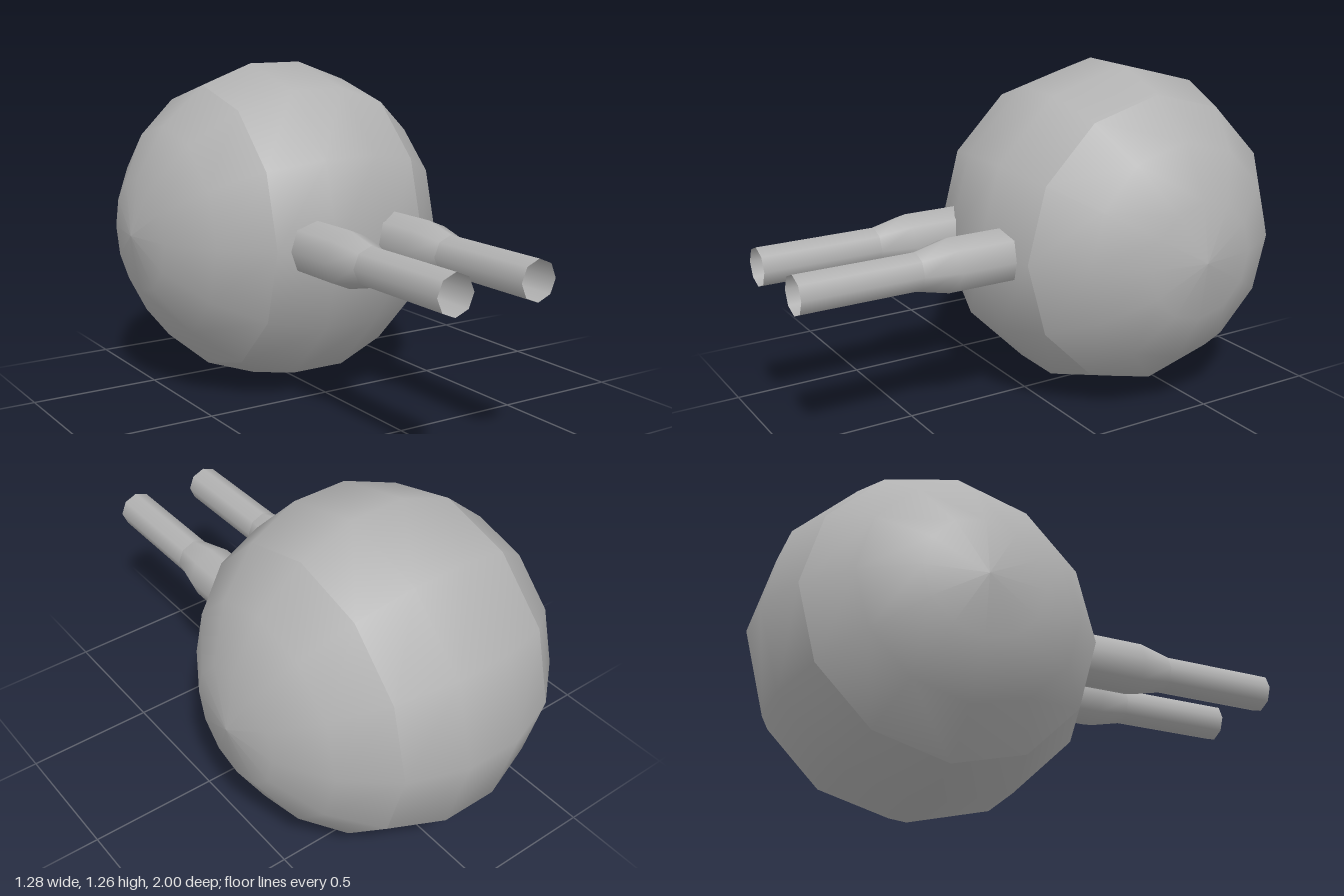
import * as THREE from 'three';

export function createModel() {
  const group = new THREE.Group();
  const metal = new THREE.MeshStandardMaterial({ color: 0xb2b2b2, side: THREE.DoubleSide });
  metal.name = 'grey metal';

  const lathe = (profile, sides) =>
    new THREE.LatheGeometry(profile.map(([r, h]) => new THREE.Vector2(r, h)), sides);
  const add = (name, geometry, x, y, z) => {
    const mesh = new THREE.Mesh(geometry, metal);
    mesh.name = name;
    mesh.position.set(x, y, z);
    group.add(mesh);
  };

  const centreY = 0.632;

  // Faceted ball turned about the x axis: a middle band and two side caps, creased between
  const band = [[0.555, -0.32], [0.632, -0.11], [0.632, 0.11], [0.555, 0.32]];
  const cap = [[0.555, 0.32], [0.41, 0.49], [0.22, 0.603], [0, 0.638]];
  const mirroredCap = cap.map(([r, h]) => [r, -h]).reverse();
  const ballParts = [['ballBand', band], ['leftBallCap', cap], ['rightBallCap', mirroredCap]];
  for (const [name, profile] of ballParts) {
    add(name, lathe(profile, 12).rotateZ(-Math.PI / 2), 0, centreY, -0.37);
  }

  // Twin barrels: a wide sleeve tapering into a narrow open tube
  const sleeve = [[0.104, 0.19], [0.104, 0.42], [0.073, 0.55]];
  const tube = [[0.073, 0.55], [0.073, 1]];
  for (const side of [1, -1]) {
    const label = side > 0 ? 'left' : 'right';
    add(label + 'Sleeve', lathe(sleeve, 8).rotateX(Math.PI / 2), side * 0.17, centreY, 0);
    add(label + 'Barrel', lathe(tube, 8).rotateX(Math.PI / 2), side * 0.17, centreY, 0);
  }

  return group;
}
